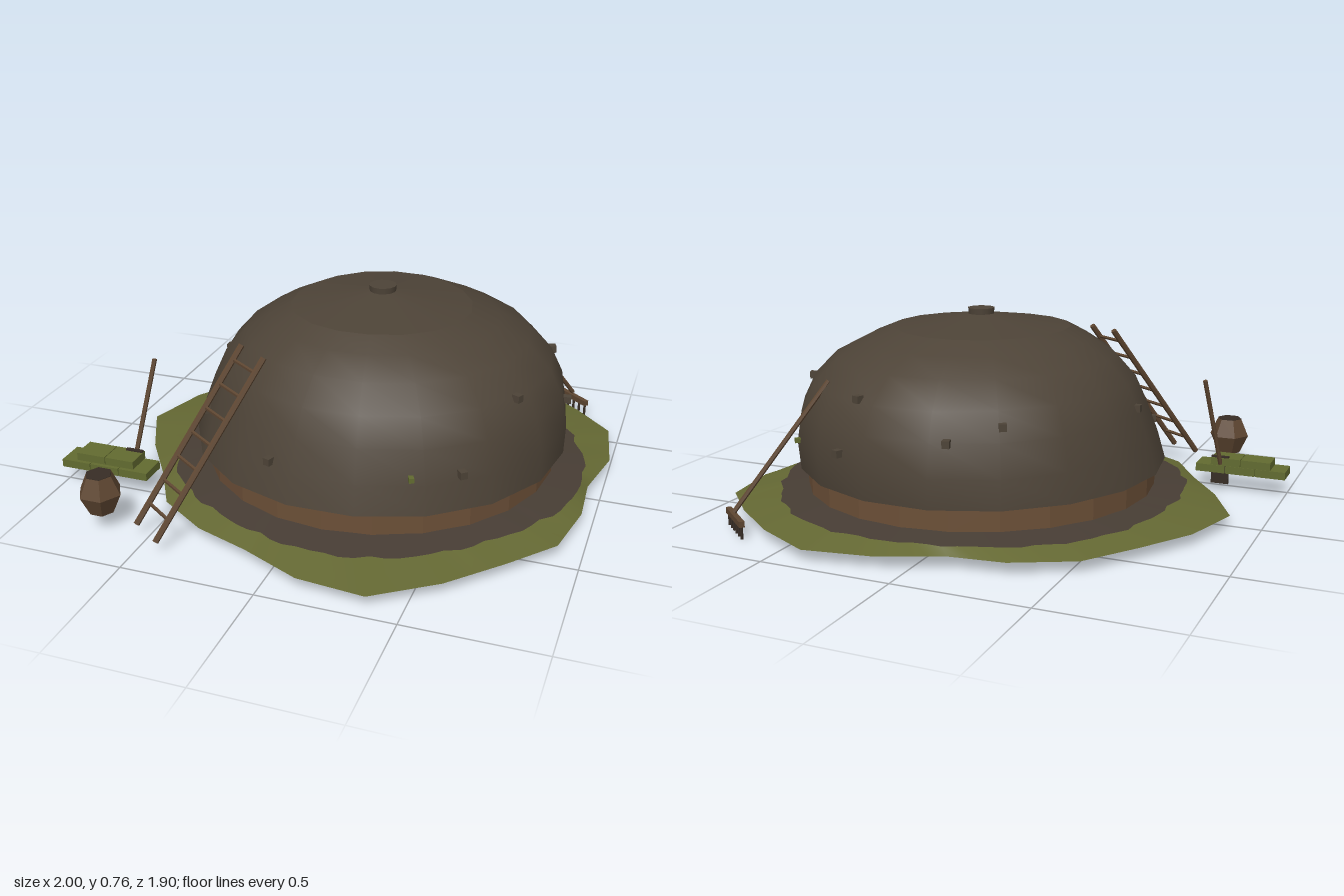
import * as THREE from 'three';

const CX = 0.12, CZ = -0.02; // centre of the hut

const mat = (name, color, side = THREE.FrontSide) => {
  const m = new THREE.MeshStandardMaterial({ color, side });
  m.name = name;
  return m;
};

// Surface closed around the y axis: point(row, angle, column) gives each corner
function loft(rows, cols, point) {
  const pos = [], idx = [];
  for (let r = 0; r < rows; r++)
    for (let c = 0; c < cols; c++) pos.push(...point(r, (c / cols) * Math.PI * 2, c));
  for (let r = 0; r < rows - 1; r++)
    for (let c = 0; c < cols; c++) {
      const d = (c + 1) % cols;
      const a = r * cols + c, b = r * cols + d, e = a + cols, f = b + cols;
      idx.push(a, e, b, b, e, f);
    }
  const g = new THREE.BufferGeometry();
  g.setAttribute('position', new THREE.Float32BufferAttribute(pos, 3));
  g.setIndex(idx);
  g.computeVertexNormals();
  return g;
}

function flat(g) {
  const n = g.index ? g.toNonIndexed() : g;
  n.computeVertexNormals();
  return n;
}

function add(parent, name, geometry, material, x = 0, y = 0, z = 0) {
  const m = new THREE.Mesh(geometry, material);
  m.name = name;
  m.position.set(x, y, z);
  parent.add(m);
  return m;
}

// Thin pole between two points
function pole(parent, name, a, b, radius, material, sides = 6) {
  const p = new THREE.Vector3(...a), q = new THREE.Vector3(...b);
  const d = q.clone().sub(p);
  const m = add(parent, name, flat(new THREE.CylinderGeometry(radius, radius, d.length(), sides)), material);
  m.position.copy(p).add(q).multiplyScalar(0.5);
  m.quaternion.setFromUnitVectors(new THREE.Vector3(0, 1, 0), d.normalize());
  return m;
}

const mix = (a, b, t) => a.map((v, i) => v + (b[i] - v) * t);

export function createModel() {
  const root = new THREE.Group();
  root.name = 'earthHut';
  const group = (name) => {
    const g = new THREE.Group();
    g.name = name;
    root.add(g);
    return g;
  };

  const thatch = mat('thatch', 0x4d4337, THREE.DoubleSide);
  const wall = mat('wallTimber', 0x6b4f37, THREE.DoubleSide);
  const grass = mat('grass', 0x646833, THREE.DoubleSide);
  const earth = mat('earth', 0x473d34, THREE.DoubleSide);
  const wood = mat('wood', 0x5e4631);
  const dark = mat('darkMetal', 0x372d25);
  const turf = mat('turf', 0x626b30);

  // Ground: trampled earth ring and an uneven grass skirt
  const rim = [
    [0.95, -0.01], [0.96, 0.2], [0.915, 0.44], [0.77, 0.61], [0.595, 0.795], [0.375, 0.95],
    [0.12, 0.925], [-0.11, 0.82], [-0.32, 0.745], [-0.515, 0.615], [-0.63, 0.42], [-0.77, 0.22],
    [-0.885, -0.015], [-0.81, -0.27], [-0.68, -0.475], [-0.54, -0.675], [-0.32, -0.785], [-0.115, -0.81],
    [0.12, -0.91], [0.37, -0.95], [0.6, -0.83], [0.8, -0.675], [0.96, -0.51], [1, -0.25],
  ];
  const N = 96;
  const rimAt = (c) => {
    const k = Math.floor(c / 4);
    return mix(rim[k], rim[(k + 1) % 24], (c % 4) / 4);
  };
  const groundPoint = (row, a, c) => {
    const [ox, oz] = rimAt(c);
    if (row === 2) return [ox, 0.045, oz];
    const limit = Math.hypot(ox - CX, oz - CZ) - 0.025;
    const edge = Math.min(limit, 0.802 + 0.012 * Math.sin(a * 5 + 1) + 0.007 * Math.sin(a * 23) + 0.005 * Math.sin(a * 37));
    const r = row === 0 ? 0.675 : edge;
    return [CX + r * Math.cos(a), row === 0 ? 0.083 : 0.07, CZ + r * Math.sin(a)];
  };
  const flip = (rows) => loft(2, N, (r, a, c) => groundPoint(rows[r], -a, (N - c) % N));
  add(root, 'earthRing', flip([1, 0]), earth);
  add(root, 'grassSkirt', flip([2, 1]), grass);

  // Low timber wall
  add(root, 'wall', flat(new THREE.CylinderGeometry(0.685, 0.685, 0.1, 24, 1, true)), wall, CX, 0.128, CZ);

  // Dome: [height, radius, bulge toward the back left]
  const profile = [
    [0.17, 0.722, 0], [0.28, 0.71, 0.022], [0.4, 0.677, 0.036], [0.5, 0.63, 0.034],
    [0.59, 0.545, 0.028], [0.65, 0.44, 0.015], [0.693, 0.345, 0],
  ];
  const domeRadius = (h, a) => {
    let i = 0;
    while (i < profile.length - 2 && h > profile[i + 1][0]) i++;
    const [, r, b] = mix(profile[i], profile[i + 1], (h - profile[i][0]) / (profile[i + 1][0] - profile[i][0]));
    return r + b * Math.cos(a + Math.PI / 4) + 0.007 * Math.sin(a * 3 + 0.5);
  };
  const domePoint = (h, a) => [CX + domeRadius(h, a) * Math.cos(a), h, CZ + domeRadius(h, a) * Math.sin(a)];
  add(root, 'dome', loft(profile.length, 18, (r, a) => domePoint(profile[r][0], -a)), thatch)
    .geometry.computeVertexNormals();
  add(root, 'domeCrown', loft(2, 18, (r, a) =>
    r ? [CX + 0.04 * Math.cos(a), 0.741, CZ - 0.04 * Math.sin(a)] : domePoint(0.693, -a)), thatch);

  // Smoke hole cap
  add(root, 'smokeCap', new THREE.CylinderGeometry(0.052, 0.05, 0.028, 14), thatch, CX, 0.748, CZ);

  // Pegs and turf plugs on the dome: [angle in degrees, height, plug]
  const pegs = group('domePegs');
  [
    [108, 0.3], [64, 0.305, 1], [49, 0.305], [25, 0.5], [-21, 0.49], [-11, 0.33], [-42, 0.29, 1],
    [-70, 0.32], [-73, 0.51], [-105, 0.4], [-121, 0.45], [180, 0.42], [150, 0.3],
  ].forEach(([deg, h, plug]) => {
    const a = THREE.MathUtils.degToRad(deg), s = plug ? 0.018 : 0.027;
    const m = add(pegs, plug ? 'turfPlug' : 'peg', new THREE.BoxGeometry(s, s, 0.03), plug ? turf : thatch, ...domePoint(h, a));
    m.rotation.y = Math.PI / 2 - a;
  });

  // Ladder leaning on the front
  const ladder = group('ladder');
  const rails = [
    [[-0.54, 0.05, 0.8], [-0.277, 0.63, 0.41]],
    [[-0.42, 0.05, 0.885], [-0.155, 0.63, 0.495]],
  ];
  rails.forEach(([a, b]) => pole(ladder, 'ladderRail', a, b, 0.0115, wood));
  for (let i = 0; i < 7; i++) {
    const t = 0.12 + i * 0.133;
    pole(ladder, 'ladderRung', mix(...rails[0], t), mix(...rails[1], t), 0.007, wood, 5);
  }

  // Six-sided barrel
  const barrel = group('barrel');
  barrel.position.set(-0.69, 0, 0.78);
  const staves = [[0, 0.068], [0.047, 0.068], [0.082, 0.145], [0.05, 0.217]].map((p) => new THREE.Vector2(...p));
  add(barrel, 'barrelBody', flat(new THREE.LatheGeometry(staves, 6, Math.PI / 2)), wood);
  add(barrel, 'barrelLid', flat(new THREE.CylinderGeometry(0.05, 0.05, 0.006, 6, 1).rotateY(Math.PI / 2)), dark, 0, 0.216, 0);

  // Stacked turf blocks
  const stack = group('turfStack');
  for (let i = 0; i < 3; i++)
    add(stack, 'turfBlock', new THREE.BoxGeometry(0.119, 0.031, 0.11), turf, -0.94 + i * 0.122, 0.086, 0.485);
  for (let i = 0; i < 2; i++)
    add(stack, 'turfBlock', new THREE.BoxGeometry(0.119, 0.031, 0.098), turf, -0.88 + i * 0.122, 0.118, 0.478);

  // Spade behind the stack
  const spade = group('spade');
  pole(spade, 'spadeHandle', [-0.738, 0.11, 0.43], [-0.692, 0.475, 0.31], 0.009, wood);
  add(spade, 'spadeBlade', new THREE.BoxGeometry(0.07, 0.115, 0.014), dark, -0.735, 0.083, 0.441);

  // Rake leaning on the back
  const rake = group('rake');
  pole(rake, 'rakeHandle', [0.765, 0.075, -0.782], [0.52, 0.53, -0.5], 0.009, wood);
  const headA = [0.688, 0.057, -0.842], headB = [0.833, 0.057, -0.722];
  const bar = add(rake, 'rakeHead', new THREE.BoxGeometry(0.195, 0.022, 0.02), wood, ...mix(headA, headB, 0.5));
  bar.rotation.y = -Math.atan2(headB[2] - headA[2], headB[0] - headA[0]);
  for (let i = 0; i < 6; i++) {
    const [x, , z] = mix(headA, headB, 0.03 + i * 0.188);
    pole(rake, 'rakeTooth', [x, 0, z], [x, 0.055, z], 0.0055, dark, 5);
  }

  return root;
}
